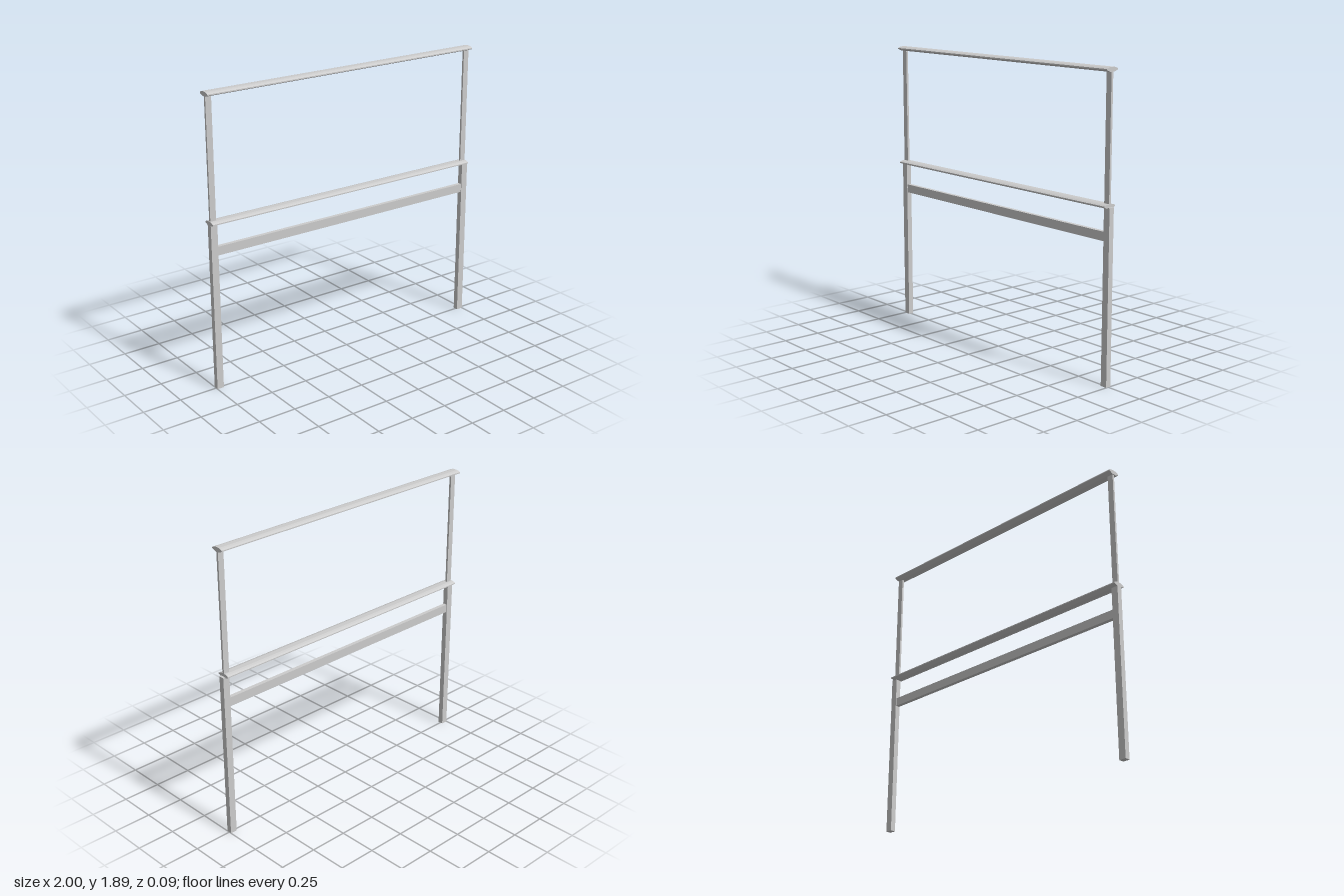
import * as THREE from 'three';

const material = new THREE.MeshStandardMaterial({ color: 0xcccccc, flatShading: true });

// Box given by its extents
function bar(name, x0, x1, y0, y1, depth) {
  const mesh = new THREE.Mesh(new THREE.BoxGeometry(x1 - x0, y1 - y0, depth), material);
  mesh.position.set((x0 + x1) / 2, (y0 + y1) / 2, 0);
  mesh.name = name;
  return mesh;
}

// Handrail: shallow lens section with a rounded top and bevelled underside, run along x
function rail(name, y) {
  const half = [[0.015, 0], [0.0425, 0.011], [0.0425, 0.018], [0.031, 0.024], [0.016, 0.028]];
  const points = [...half, ...half.map(([z, h]) => [-z, h]).reverse()];
  const shape = new THREE.Shape(points.map(([z, h]) => new THREE.Vector2(z, h)));
  const geometry = new THREE.ExtrudeGeometry(shape, { depth: 1.985, bevelEnabled: false });
  geometry.rotateY(Math.PI / 2);
  const mesh = new THREE.Mesh(geometry, material);
  mesh.position.set(-1, y, 0);
  mesh.name = name;
  return mesh;
}

export function createModel() {
  const group = new THREE.Group();
  group.name = 'railing';

  // Thick lower posts
  group.add(bar('lowerPostRight', -1, -0.955, 0, 1.085, 0.035));
  group.add(bar('lowerPostLeft', 0.955, 1, 0, 1.085, 0.035));

  // Thin upper posts standing on the middle rail
  group.add(bar('upperPostRight', -0.995, -0.956, 1.095, 1.868, 0.014));
  group.add(bar('upperPostLeft', 0.946, 0.985, 1.095, 1.868, 0.014));

  // Crossbar and the two rails
  group.add(bar('crossbar', -0.955, 0.955, 0.882, 0.938, 0.026));
  group.add(rail('middleRail', 1.077));
  group.add(rail('topRail', 1.863));
  return group;
}
